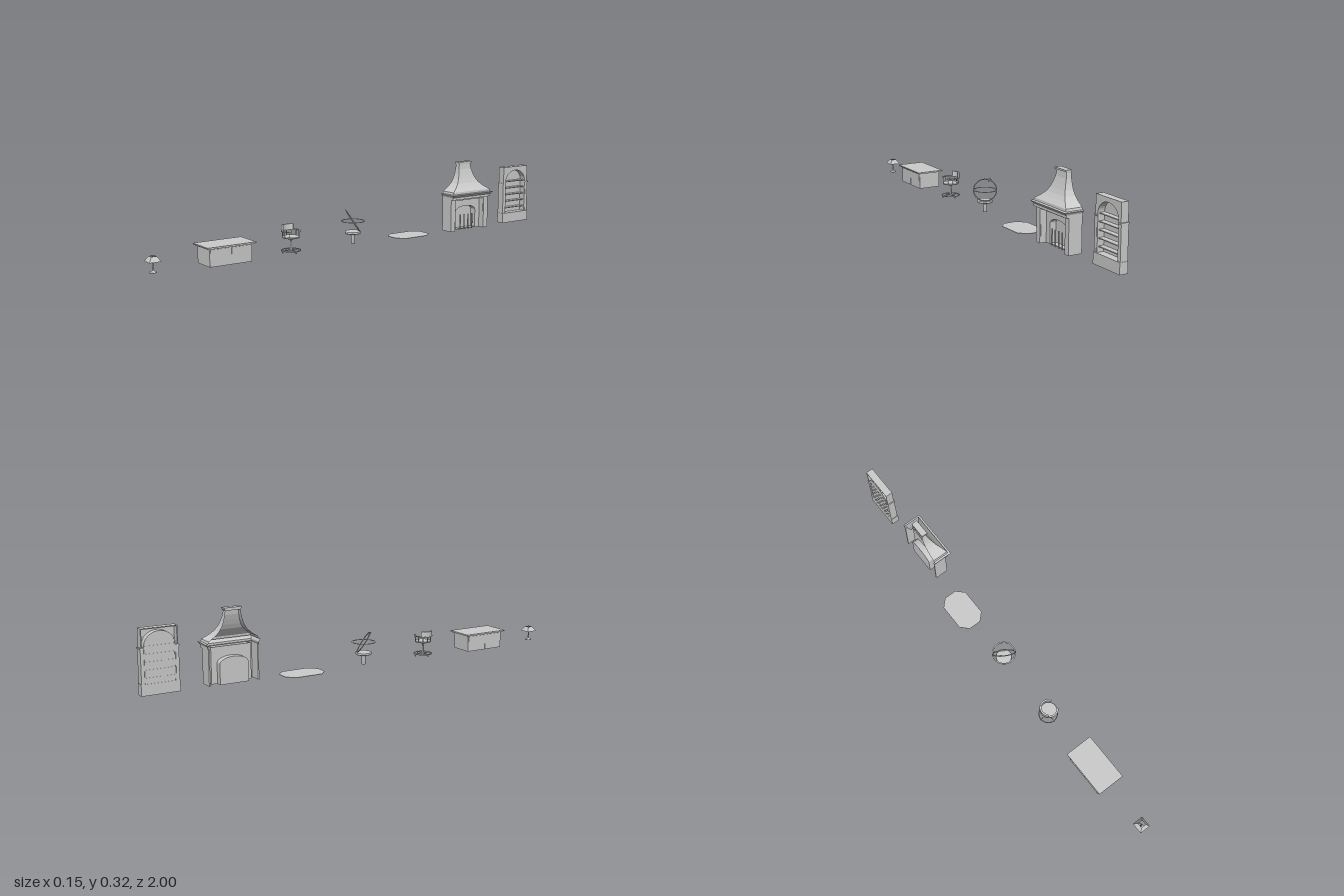
import * as THREE from 'three';

const CX = -0.012; // shared centre line of the free-standing furniture
const grey = new THREE.MeshStandardMaterial({ color: 0xcccccc, side: THREE.DoubleSide });
const facet = new THREE.MeshStandardMaterial({ color: 0xcccccc, side: THREE.DoubleSide, flatShading: true });

function group(parent, name, x = 0, y = 0, z = 0) {
  const g = new THREE.Group();
  g.name = name;
  g.position.set(x, y, z);
  parent.add(g);
  return g;
}
function add(parent, name, geo, x = 0, y = 0, z = 0, mat = grey) {
  const m = new THREE.Mesh(geo, mat);
  m.name = name;
  m.position.set(x, y, z);
  parent.add(m);
  return m;
}
// Box given by its limits
function box(parent, name, x0, x1, y0, y1, z0, z1) {
  return add(parent, name, new THREE.BoxGeometry(x1 - x0, y1 - y0, z1 - z0),
    (x0 + x1) / 2, (y0 + y1) / 2, (z0 + z1) / 2);
}
function rod(parent, name, r0, r1, y0, y1, x = 0, z = 0, sides = 12) {
  return add(parent, name, new THREE.CylinderGeometry(r1, r0, y1 - y0, sides), x, (y0 + y1) / 2, z);
}
function lathe(parent, name, pts, sides = 20) {
  return add(parent, name, new THREE.LatheGeometry(pts.map(p => new THREE.Vector2(...p)), sides));
}
// Closed outline with an arched top; half width w, springing height s, crown height c
function arch(path, w, y0, s, c) {
  path.moveTo(-w, y0);
  path.lineTo(w, y0);
  path.lineTo(w, s);
  path.absellipse(0, s, w, c - s, 0, Math.PI, false);
  path.lineTo(-w, y0);
  return path;
}
// Shape drawn in (z, y), extruded along x from x0 to x1
function slab(parent, name, shape, x0, x1) {
  const geo = new THREE.ExtrudeGeometry(shape, { depth: x1 - x0, bevelEnabled: false, curveSegments: 10 });
  geo.rotateY(Math.PI / 2);
  return add(parent, name, geo, x0);
}
function rect(w, y0, y1) {
  return new THREE.Shape([[-w, y0], [w, y0], [w, y1], [-w, y1]].map(p => new THREE.Vector2(...p)));
}

function lamp(root) {
  const g = group(root, 'tableLamp', CX, 0, 0.975);
  lathe(g, 'lampStand', [[0, 0], [0.015, 0], [0.015, 0.003], [0.009, 0.006], [0.003, 0.008], [0.002, 0.015],
    [0.004, 0.02], [0.002, 0.025], [0.0025, 0.04], [0.004, 0.043], [0.0015, 0.046], [0.0015, 0.064], [0, 0.064]], 12);
  const shade = new THREE.CylinderGeometry(0.0115 * Math.SQRT2, 0.025 * Math.SQRT2, 0.021, 4, 1, true);
  add(g, 'lampShade', shade.rotateY(Math.PI / 4), 0, 0.0555, 0, facet);
}

function desk(root) {
  const g = group(root, 'desk', CX, 0, 0.66);
  box(g, 'deskTop', -0.064, 0.064, 0.077, 0.082, -0.11, 0.11);
  box(g, 'deskTopMoulding', -0.06, 0.06, 0.074, 0.077, -0.106, 0.106);
  box(g, 'deskBody', -0.052, 0.052, 0, 0.074, -0.096, 0.096);
  for (const side of [-1, 1]) for (const half of [-1, 1])
    box(g, 'deskPanel', side * 0.0525 - 0.001, side * 0.0525 + 0.001, 0.004, 0.07,
      half * 0.048 - 0.045, half * 0.048 + 0.045);
}

function chair(root) {
  const g = group(root, 'swivelChair', CX, 0, 0.345);
  // foot ring with spokes
  add(g, 'footRing', new THREE.TorusGeometry(0.041, 0.002, 6, 28).rotateX(Math.PI / 2), 0, 0.01, 0);
  for (const a of [0, Math.PI / 2]) {
    const spoke = add(g, 'footSpoke', new THREE.BoxGeometry(0.084, 0.003, 0.004), 0, 0.011, 0);
    spoke.rotation.y = a;
  }
  for (let i = 0; i < 4; i++) {
    const a = i * Math.PI / 2;
    rod(g, 'foot', 0.003, 0.003, 0, 0.01, 0.041 * Math.cos(a), 0.041 * Math.sin(a), 8);
  }
  rod(g, 'chairPost', 0.005, 0.004, 0.008, 0.064);
  lathe(g, 'seat', [[0, 0.061], [0.025, 0.061], [0.036, 0.064], [0.037, 0.068], [0.034, 0.07], [0, 0.069]], 24);
  // arm rail open towards the front of the seat
  const rail = new THREE.Shape();
  rail.absarc(0, 0, 0.042, 0.6, Math.PI * 2 - 0.6, false);
  rail.absarc(0, 0, 0.034, Math.PI * 2 - 0.6, 0.6, true);
  const railGeo = new THREE.ExtrudeGeometry(rail, { depth: 0.004, bevelEnabled: false, curveSegments: 24 });
  add(g, 'armRail', railGeo.rotateX(-Math.PI / 2), 0, 0.091, 0);
  for (let i = 0; i < 9; i++) {
    const a = 0.75 + i * (Math.PI * 2 - 1.5) / 8;
    rod(g, 'spindle', 0.0018, 0.0018, 0.067, 0.092, 0.036 * Math.cos(a), 0.036 * Math.sin(a), 8);
  }
  // curved, leaning back rest
  const back = new THREE.Shape();
  back.absarc(0, 0, 0.041, Math.PI - 0.85, Math.PI + 0.85, false);
  back.absarc(0, 0, 0.033, Math.PI + 0.85, Math.PI - 0.85, true);
  const backGeo = new THREE.ExtrudeGeometry(back, { depth: 0.025, bevelEnabled: false, curveSegments: 14 });
  backGeo.rotateX(-Math.PI / 2);
  add(g, 'backRest', backGeo, 0, 0.093, 0).rotation.z = 0.04;
}

function globe(root) {
  const g = group(root, 'globeStand', CX, 0, 0.025);
  lathe(g, 'pedestal', [[0, 0], [0.009, 0], [0.009, 0.035], [0.014, 0.042], [0.033, 0.044], [0.036, 0.047],
    [0.036, 0.053], [0.033, 0.055], [0, 0.055]], 24);
  const band = new THREE.Shape();
  band.absarc(0, 0, 0.053, 0, Math.PI * 2, false);
  band.holes.push(new THREE.Path().absarc(0, 0, 0.047, 0, Math.PI * 2, true));
  const bandGeo = new THREE.ExtrudeGeometry(band, { depth: 0.002, bevelEnabled: false, curveSegments: 32 });
  add(g, 'horizonRing', bandGeo.rotateX(-Math.PI / 2), 0, 0.099, 0);
  // tilted meridian ring with its pivot
  const tilt = group(g, 'meridian', 0, 0.099, 0);
  tilt.quaternion.setFromUnitVectors(new THREE.Vector3(0, 0, 1), new THREE.Vector3(-0.42, -0.55, 0.72).normalize());
  add(tilt, 'meridianRing', new THREE.TorusGeometry(0.051, 0.0025, 6, 36));
  const pivot = group(tilt, 'pivot');
  pivot.rotation.z = 0.55;
  rod(pivot, 'pivotPin', 0.002, 0.002, 0.041, 0.062, 0, 0, 8);
  add(pivot, 'pivotCross', new THREE.BoxGeometry(0.014, 0.003, 0.004), 0, 0.055, 0);
}

function rug(root) {
  const w = 0.063, h = 0.095, c = 0.034;
  const pts = [[w, h - c], [w - c, h], [c - w, h], [-w, h - c], [-w, c - h], [c - w, -h], [w - c, -h], [w, c - h]];
  const geo = new THREE.ExtrudeGeometry(new THREE.Shape(pts.map(p => new THREE.Vector2(...p))),
    { depth: 0.002, bevelEnabled: false });
  add(root, 'rug', geo.rotateX(-Math.PI / 2), CX, 0, -0.285);
}

// Three-sided shell, open at the back, through levels of [y, front x, half width]
function openShell(levels, back) {
  const pos = [];
  const corners = ([y, x, w]) => [[back, y, w], [x, y, w], [x, y, -w], [back, y, -w]];
  for (let i = 0; i < levels.length - 1; i++) {
    const a = corners(levels[i]), b = corners(levels[i + 1]);
    for (let k = 0; k < 3; k++)
      pos.push(...a[k], ...a[k + 1], ...b[k + 1], ...a[k], ...b[k + 1], ...b[k]);
  }
  const geo = new THREE.BufferGeometry();
  geo.setAttribute('position', new THREE.Float32BufferAttribute(pos, 3));
  geo.computeVertexNormals();
  return geo;
}

function fireplace(root) {
  const g = group(root, 'fireplace', 0, 0, -0.6);
  const back = CX;
  add(g, 'hoodAndMantel', openShell([
    [0.15, 0.05, 0.112], [0.15, 0.063, 0.115], [0.161, 0.063, 0.115], [0.166, 0.068, 0.117], [0.173, 0.075, 0.122],
    [0.175, 0.064, 0.113], [0.185, 0.063, 0.11], [0.203, 0.048, 0.083], [0.22, 0.036, 0.064], [0.24, 0.027, 0.051],
    [0.26, 0.02, 0.043], [0.283, 0.013, 0.037], [0.307, 0.01, 0.033]], back));
  box(g, 'hoodCapLower', back, 0.013, 0.305, 0.31, -0.036, 0.036);
  box(g, 'hoodCap', back, 0.016, 0.31, 0.317, -0.039, 0.039);
  // side walls and front pilasters
  for (const s of [-1, 1]) {
    box(g, 'sideWall', back, 0.05, 0, 0.155, s * 0.11 - 0.003, s * 0.11 + 0.003);
    box(g, 'pilaster', 0.044, 0.05, 0, 0.155, s * 0.1 - 0.013, s * 0.1 + 0.013);
    box(g, 'innerReturn', 0.018, 0.046, 0, 0.155, s * 0.088 - 0.002, s * 0.088 + 0.002);
  }
  box(g, 'lintel', 0.044, 0.05, 0.143, 0.155, -0.09, 0.09);
  // recessed breast with arched firebox behind
  const breast = rect(0.09, 0, 0.155);
  breast.holes.push(arch(new THREE.Path(), 0.06, 0.0005, 0.085, 0.11));
  slab(g, 'breast', breast, 0.016, 0.02);
  const shell = arch(new THREE.Shape(), 0.064, 0, 0.087, 0.114);
  shell.holes.push(arch(new THREE.Path(), 0.06, 0.003, 0.085, 0.11));
  slab(g, 'firebox', shell, back, 0.018);
  slab(g, 'fireboxBack', arch(new THREE.Shape(), 0.062, 0, 0.086, 0.112), back, back + 0.003);
  // upright irons on the hearth
  for (let i = 0; i < 4; i++)
    rod(g, 'fireIron', 0.003, 0.003, 0, 0.07, 0.026, -0.036 + i * 0.024, 8);
}

function bookcase(root) {
  const g = group(root, 'bookcase', 0, 0, -0.918);
  const back = CX;
  const face = rect(0.077, 0.04, 0.27);
  face.holes.push(arch(new THREE.Path(), 0.062, 0.045, 0.2, 0.252));
  slab(g, 'faceFrame', face, 0.015, 0.021);
  for (const s of [-1, 1]) {
    box(g, 'sideBoard', back, 0.016, 0, 0.27, s * 0.075 - 0.002, s * 0.075 + 0.002);
    box(g, 'lowerSide', back, 0.022, 0.04, 0.188, s * 0.073 - 0.007, s * 0.073 + 0.007);
    box(g, 'capital', back, 0.025, 0.187, 0.193, s * 0.073 - 0.009, s * 0.073 + 0.009);
  }
  box(g, 'topBoard', back, 0.021, 0.266, 0.27, -0.077, 0.077);
  box(g, 'base', back, 0.025, 0, 0.047, -0.082, 0.082);
  // arched niche
  const lining = arch(new THREE.Shape(), 0.065, 0.045, 0.2, 0.256);
  lining.holes.push(arch(new THREE.Path(), 0.062, 0.046, 0.2, 0.252));
  slab(g, 'nicheLining', lining, back, 0.016);
  slab(g, 'nicheBack', arch(new THREE.Shape(), 0.063, 0.045, 0.2, 0.253), back + 0.001, back + 0.003);
  for (const y of [0.07, 0.102, 0.134, 0.166, 0.198])
    box(g, 'shelf', back, 0.015, y - 0.002, y + 0.002, -0.063, 0.063);
}

export function createModel() {
  const root = new THREE.Group();
  root.name = 'studyFurnitureSet';
  for (const build of [lamp, desk, chair, globe, rug, fireplace, bookcase]) build(root);
  return root;
}
